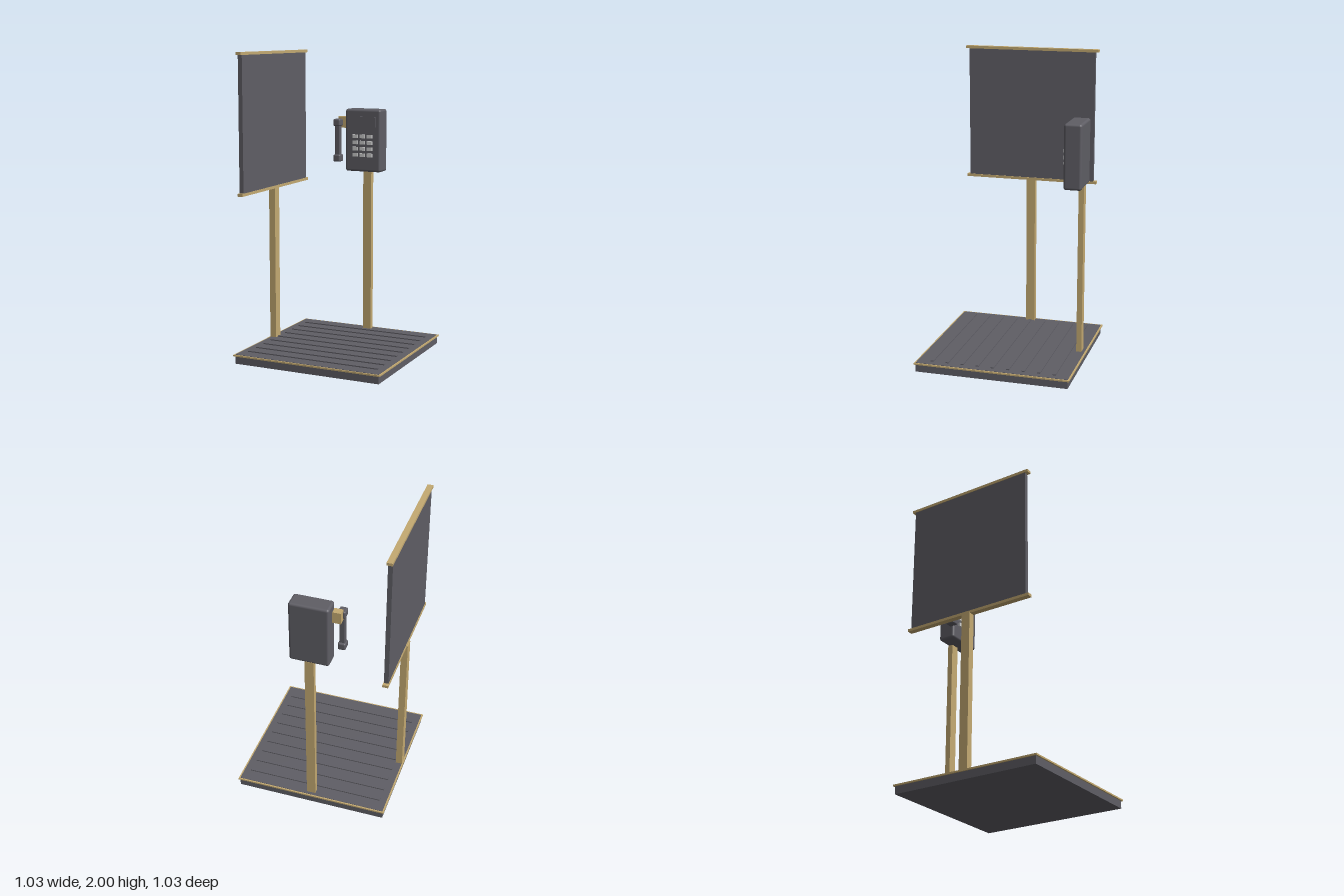
import * as THREE from 'three';
import { RoundedBoxGeometry } from 'three/addons/geometries/RoundedBoxGeometry.js';

export function createModel() {
  const root = new THREE.Group();
  root.name = 'phoneStand';

  const material = (name, color) => {
    const m = new THREE.MeshStandardMaterial({ color });
    m.name = name;
    return m;
  };
  const charcoal = material('charcoal', 0x5f5e65);
  const brass = material('brass', 0xc4aa72);
  const keyGrey = material('keyGrey', 0xcfcfcf);

  // Box given by its min and max on each axis; a radius rounds its edges
  function box(name, mat, [x0, x1], [y0, y1], [z0, z1], radius = 0, parent = root) {
    const size = [x1 - x0, y1 - y0, z1 - z0];
    const geometry = radius
      ? new RoundedBoxGeometry(...size, 3, radius)
      : new THREE.BoxGeometry(...size);
    const mesh = new THREE.Mesh(geometry, mat);
    mesh.name = name;
    mesh.position.set((x0 + x1) / 2, (y0 + y1) / 2, (z0 + z1) / 2);
    parent.add(mesh);
    return mesh;
  }

  // Platform with overhanging trim and raised grip strips
  box('platform', charcoal, [-0.505, 0.505], [0, 0.062], [-0.505, 0.505]);
  box('platformTrim', brass, [-0.515, 0.515], [0.05, 0.06], [-0.515, 0.515]);
  for (let i = -4; i <= 4; i++) {
    const z = i * 0.102;
    box('gripStrip', charcoal, [-0.46, 0.46], [0.06, 0.069], [z - 0.01, z + 0.01]);
  }

  // Side panel on its post, with a rail above and below
  box('panelPost', brass, [-0.507, -0.463], [0.06, 1.095], [-0.03, 0.03]);
  box('sidePanel', charcoal, [-0.496, -0.467], [1.1, 1.985], [-0.438, 0.438]);
  box('panelBottomRail', brass, [-0.5, -0.463], [1.088, 1.106], [-0.46, 0.46]);
  box('panelTopRail', brass, [-0.5, -0.463], [1.982, 2], [-0.46, 0.46]);

  // Telephone body on its post
  box('phonePost', brass, [-0.03, 0.03], [0.06, 1.185], [-0.485, -0.45]);
  const phone = new THREE.Group();
  phone.name = 'telephone';
  root.add(phone);
  box('phoneBody', charcoal, [-0.13, 0.13], [1.18, 1.605], [-0.488, -0.371], 0.016, phone);
  box('displayPlate', charcoal, [-0.094, 0.094], [1.485, 1.555], [-0.375, -0.364], 0, phone);

  // Keypad: four rows of three
  for (let row = 0; row < 4; row++) {
    for (let col = -1; col <= 1; col++) {
      const x = col * 0.053;
      const y = 1.422 - row * 0.0425;
      box('key', keyGrey, [x - 0.019, x + 0.019], [y - 0.012, y + 0.012], [-0.373, -0.359], 0, phone);
    }
  }

  // Cradle and hanging handset
  box('cradle', brass, [-0.185, -0.128], [1.475, 1.552], [-0.423, -0.375], 0, phone);
  const handset = new THREE.Group();
  handset.name = 'handset';
  phone.add(handset);
  box('handsetGrip', charcoal, [-0.194, -0.156], [1.27, 1.515], [-0.369, -0.335], 0.007, handset);
  box('earpiece', charcoal, [-0.2, -0.15], [1.488, 1.537], [-0.383, -0.322], 0.01, handset);
  box('mouthpiece', charcoal, [-0.2, -0.15], [1.245, 1.294], [-0.383, -0.322], 0.01, handset);

  return root;
}
